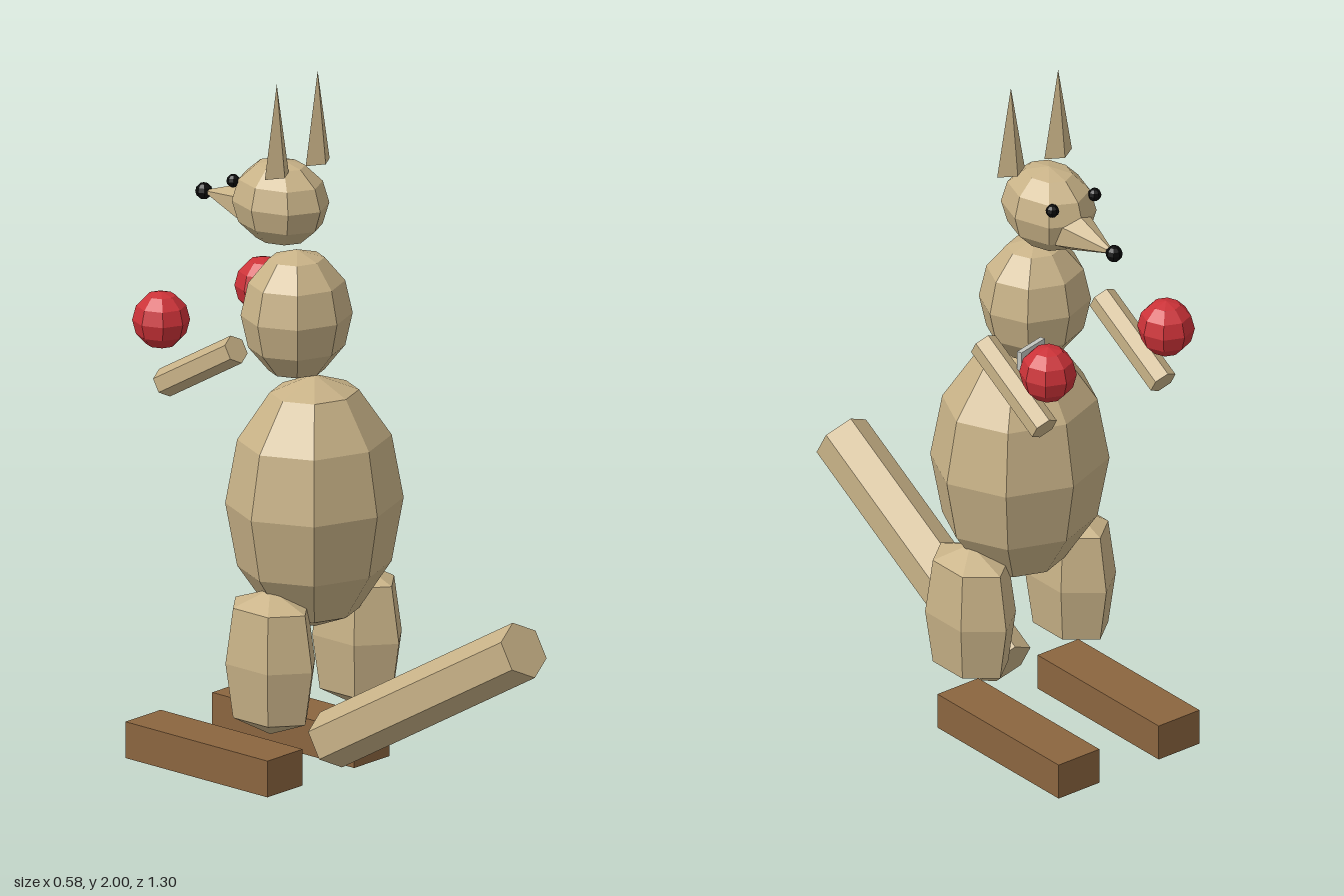
import * as THREE from 'three';

const flat = (name, color) => {
  const m = new THREE.MeshStandardMaterial({ color });
  m.flatShading = true;
  m.name = name;
  return m;
};

export function createModel() {
  const fur = flat('tan fur', 0xc8b287);
  const brown = flat('brown feet', 0x8b653f);
  const red = flat('red gloves', 0xcc3238);
  const black = flat('black', 0x080808);
  const grey = flat('pale grey', 0xc4c6c0);

  const model = new THREE.Group();
  model.name = 'boxingKangaroo';

  const add = (name, geometry, material, x, y, z) => {
    const mesh = new THREE.Mesh(geometry, material);
    mesh.name = name;
    mesh.position.set(x, y, z);
    model.add(mesh);
    return mesh;
  };
  const ellipsoid = (rx, ry, rz) => new THREE.SphereGeometry(1, 8, 6).scale(rx, ry, rz);

  // Torso, chest and head, facing -z
  add('body', ellipsoid(0.26, 0.365, 0.234), fur, 0, 0.79, -0.174);
  add('chest', ellipsoid(0.16, 0.187, 0.15), fur, 0, 1.315, -0.24);
  add('head', ellipsoid(0.12, 0.123, 0.148), fur, 0, 1.628, -0.3);

  // Snout and nose
  const snout = new THREE.ConeGeometry(0.066, 0.19, 6).rotateX(-Math.PI / 2);
  add('snout', snout, fur, 0, 1.597, -0.495);
  add('nose', new THREE.SphereGeometry(0.024, 8, 6), black, 0, 1.597, -0.585);

  // Tail slopes down towards the feet
  const tail = add('tail', new THREE.CylinderGeometry(0.082, 0.082, 0.828, 6), fur, 0, 0.316, 0.246);
  tail.rotation.x = Math.PI / 3;

  // Six-sided thigh, slightly narrower across than along
  const thighProfile = [[0, -0.21], [0.83, -0.157], [1, 0], [0.83, 0.16], [0, 0.21]]
    .map(([r, y]) => new THREE.Vector2(r, y));

  for (const [side, s] of [['left', 1], ['right', -1]]) {
    add(side + 'Ear', new THREE.ConeGeometry(1, 0.265, 4).scale(0.049, 1, 0.03), fur, s * 0.084, 1.867, -0.238);
    add(side + 'Eye', new THREE.SphereGeometry(0.019, 8, 6), black, s * 0.075, 1.682, -0.408);

    const arm = add(side + 'Arm', new THREE.CylinderGeometry(0.041, 0.041, 0.308, 6), fur, s * 0.211, 1.178, -0.407);
    arm.rotation.x = Math.PI / 3;
    add(side + 'Glove', ellipsoid(0.079, 0.082, 0.081), red, s * 0.21, 1.281, -0.554);

    const thigh = new THREE.LatheGeometry(thighProfile, 6).scale(0.113, 1, 0.156);
    add(side + 'Thigh', thigh, fur, s * 0.178, 0.364, -0.177);
    add(side + 'Foot', new THREE.BoxGeometry(0.145, 0.105, 0.528), brown, s * 0.178, 0.0525, -0.386);
  }

  // Small plate beside the chest
  const plate = add('chestPlate', new THREE.BoxGeometry(0.105, 0.127, 0.015), grey, 0.135, 1.21, -0.388);
  plate.rotation.y = 0.23;

  return model;
}
